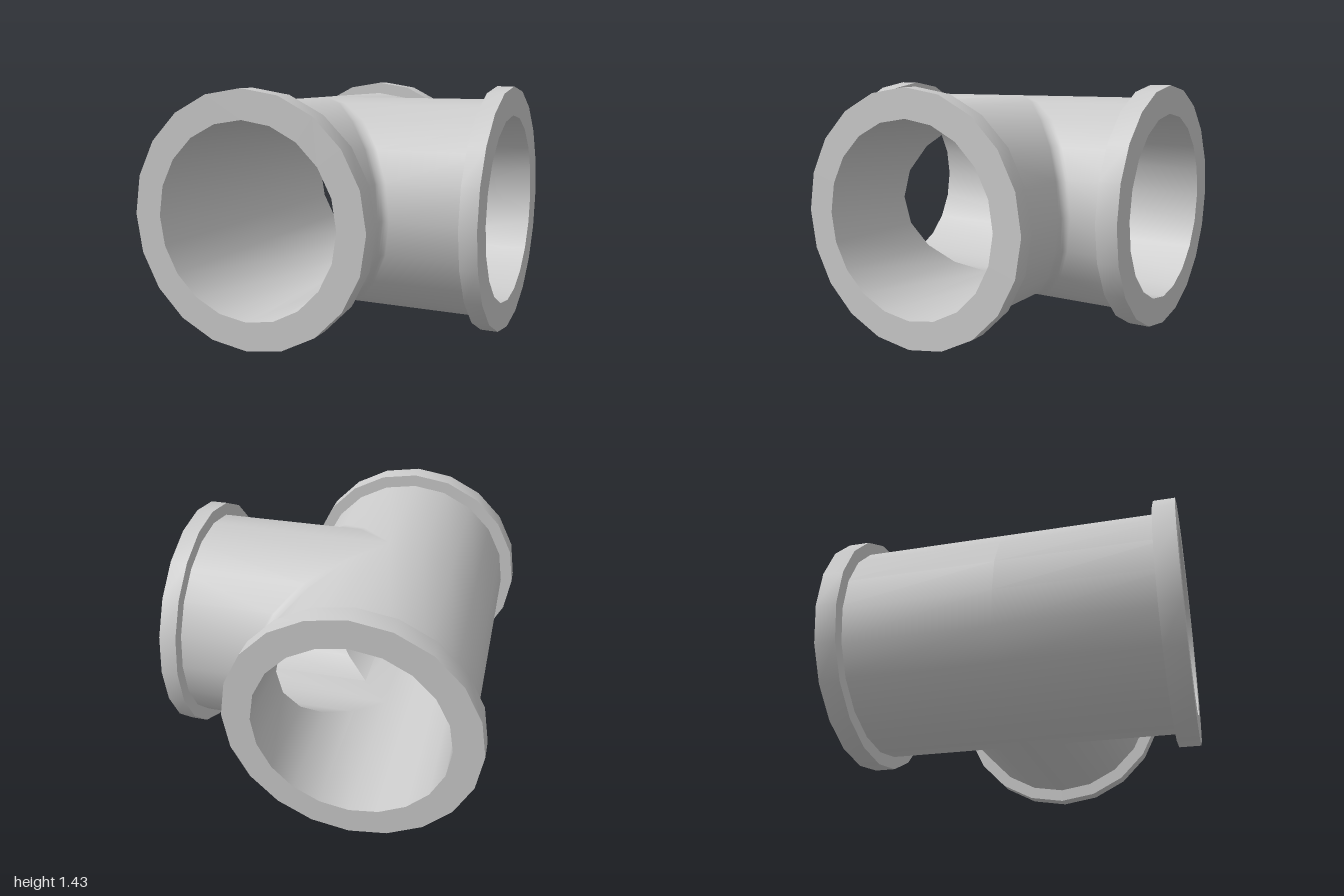
import * as THREE from 'three';
import { toCreasedNormals } from 'three/addons/utils/BufferGeometryUtils.js';

const SIDES = 20;
const BORE = 0.55, PIPE = 0.64, FLANGE = 0.715;
const RUN = 1, BRANCH = 1.2; // distance from the pipe crossing to each open end
const CREASE = 0.6;

const material = new THREE.MeshStandardMaterial({ color: 0xcccccc });

// Wall of two equal pipes meeting in a tee, with an optional fillet at the mitre
function teeWall(r, fillet, outward) {
  const pos = [];
  const addGrid = (cols, flip) => {
    for (let i = 0; i + 1 < cols.length; i++) {
      for (let j = 0; j + 1 < cols[i].length; j++) {
        const a = cols[i][j], b = cols[i + 1][j], c = cols[i + 1][j + 1], d = cols[i][j + 1];
        const tris = flip ? [a, c, b, a, d, c] : [a, b, c, a, c, d];
        tris.forEach(p => pos.push(...p));
      }
    }
  };
  const half = SIDES / 2;

  // Branch side: each column is a level slice from the run's end, round the corner, out along the branch
  for (const s of [1, -1]) {
    const cols = [];
    for (let i = 0; i <= half; i++) {
      const t = -Math.PI / 2 + (i / half) * Math.PI;
      const c = (i === 0 || i === half) ? 0 : r * Math.cos(t);
      const y = r * Math.sin(t);
      const f = c === 0 ? 0 : fillet * Math.min(1, 2 * Math.cos(t));
      const col = [[c, y, s * RUN]];
      const steps = fillet ? 6 : 0;
      for (let k = 0; k <= steps; k++) {
        const a = steps ? (k / steps) * Math.PI / 2 : 0;
        col.push([c + f - f * Math.cos(a), y, s * (c + f - f * Math.sin(a))]);
      }
      col.push([BRANCH, y, s * c]);
      cols.push(col);
    }
    addGrid(cols, outward === (s > 0));
  }

  // Plain half of the run, opposite the branch
  const back = [];
  for (let i = 0; i <= half; i++) {
    const t = Math.PI / 2 + (i / half) * Math.PI;
    const x = (i === 0 || i === half) ? 0 : r * Math.cos(t);
    back.push([RUN, 0, -RUN].map(z => [x, r * Math.sin(t), z]));
  }
  addGrid(back, outward);

  const g = new THREE.BufferGeometry();
  g.setAttribute('position', new THREE.Float32BufferAttribute(pos, 3));
  return toCreasedNormals(g, CREASE);
}

// End collar, its open face at distance "end" along +y
function collar(end, thickness) {
  const profile = [
    [PIPE - 0.01, end - thickness], [FLANGE, end - thickness], [FLANGE, end], [BORE, end],
  ].map(([x, y]) => new THREE.Vector2(x, y));
  return toCreasedNormals(new THREE.LatheGeometry(profile, SIDES), CREASE);
}

export function createModel() {
  const model = new THREE.Group();
  model.name = 'pipeTee';
  const add = (name, geometry) => {
    const mesh = new THREE.Mesh(geometry, material);
    mesh.name = name;
    model.add(mesh);
  };

  // Pipe walls
  add('outerWall', teeWall(PIPE, 0.05, true));
  add('bore', teeWall(BORE, 0, false));

  // Collars on the three open ends
  add('frontCollar', collar(RUN, 0.125).rotateX(Math.PI / 2));
  add('backCollar', collar(RUN, 0.125).rotateX(-Math.PI / 2));
  add('branchCollar', collar(BRANCH, 0.1).rotateZ(-Math.PI / 2));

  model.position.set(-0.243, FLANGE, 0);
  return model;
}
